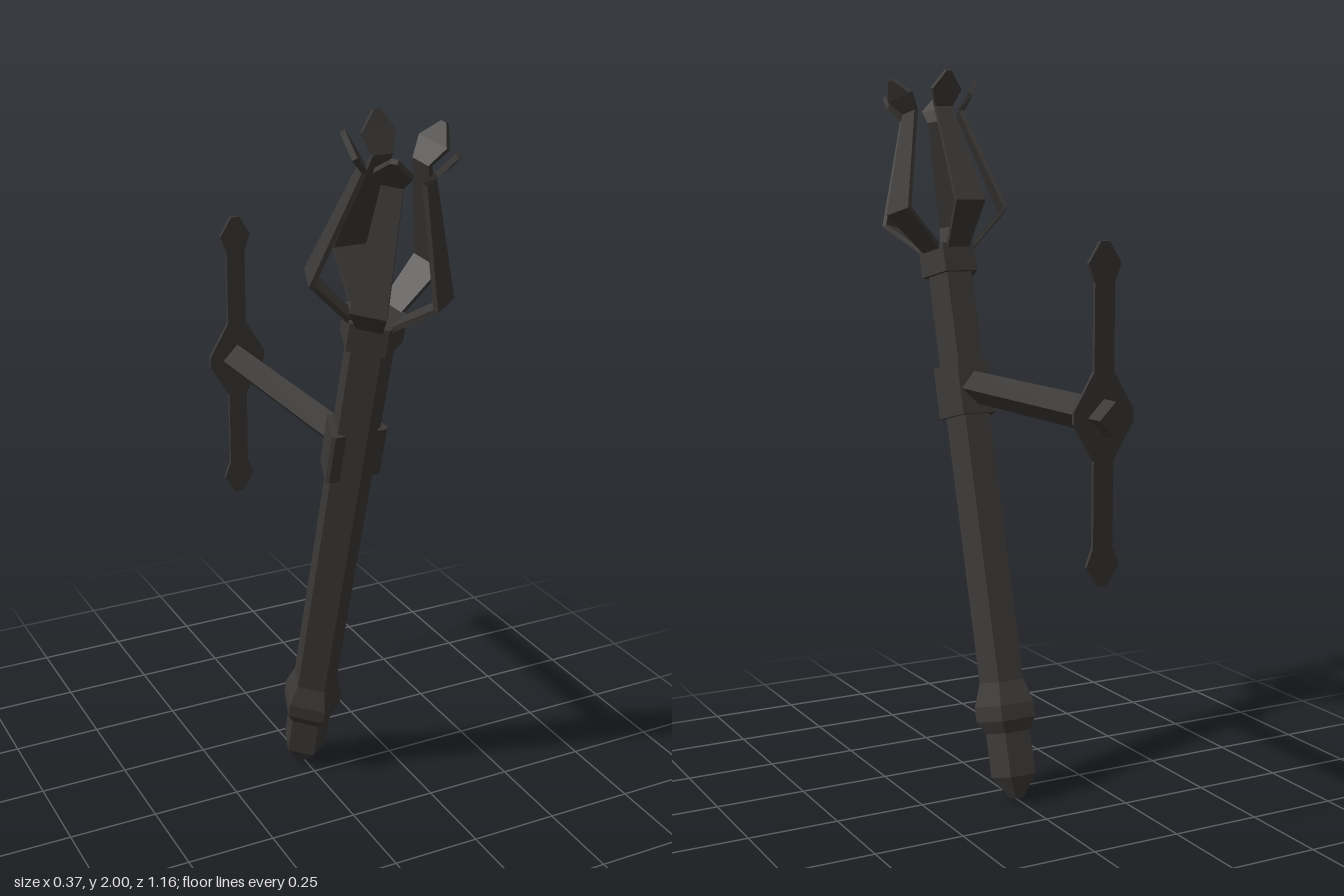
import * as THREE from 'three';

const iron = new THREE.MeshStandardMaterial({ color: 0x3b3937, flatShading: true });

function add(parent, geometry, name) {
  const mesh = new THREE.Mesh(geometry, iron);
  mesh.name = name;
  parent.add(mesh);
  return mesh;
}

// five-sided turned part, [radius, height] from bottom to top, one edge facing front
function turned(profile) {
  return new THREE.LatheGeometry(profile.map(([r, h]) => new THREE.Vector2(r, h)), 5);
}

// bent flat bar: path of [distance out, height, half width], rectangular sections
function bentBar(path, thickness) {
  const pts = path.map(([r, h]) => new THREE.Vector2(r, h));
  const position = [], index = [];
  path.forEach(([r, h, w], i) => {
    const before = pts[Math.max(i - 1, 0)], after = pts[Math.min(i + 1, pts.length - 1)];
    const tIn = pts[i].clone().sub(before).normalize();
    const tOut = after.clone().sub(pts[i]).normalize();
    const t = tIn.add(tOut).normalize();
    const nz = t.y * thickness / 2, ny = -t.x * thickness / 2;
    for (const [sx, sn] of [[-1, -1], [1, -1], [1, 1], [-1, 1]]) {
      position.push(sx * w, h + sn * ny, r + sn * nz);
    }
    if (i === path.length - 1) return;
    for (let j = 0; j < 4; j++) {
      const a = i * 4 + j, b = i * 4 + (j + 1) % 4;
      index.push(a, a + 4, b, b, a + 4, b + 4);
    }
  });
  const e = (path.length - 1) * 4;
  index.push(0, 1, 2, 0, 2, 3, e, e + 2, e + 1, e, e + 3, e + 2);
  const g = new THREE.BufferGeometry();
  g.setAttribute('position', new THREE.Float32BufferAttribute(position, 3));
  g.setIndex(index);
  g.computeVertexNormals();
  return g;
}

// polygon from a half outline [x, y], mirrored across x = 0 and extruded
function mirroredPlate(half, depth) {
  const mirrored = half.map(([x, y]) => [-x, y]).reverse();
  const shape = new THREE.Shape([...half, ...mirrored].map(([x, y]) => new THREE.Vector2(x, y)));
  return new THREE.ExtrudeGeometry(shape, { depth, bevelEnabled: false });
}

export function createModel() {
  const model = new THREE.Group();
  model.name = 'wallTorch';

  // leaning torch, built upright from its lower tip
  const torch = new THREE.Group();
  torch.name = 'torch';
  torch.position.set(0, 0.005, -0.087);
  torch.rotation.x = THREE.MathUtils.degToRad(15.6);
  model.add(torch);

  // shaft with pointed foot and swollen pommel
  add(torch, turned([
    [0, 0], [0.02, 0.002], [0.065, 0.065], [0.065, 0.185], [0.087, 0.22],
    [0.087, 0.262], [0.065, 0.325], [0.065, 1.5], [0, 1.5],
  ]), 'shaft');

  // collar below the prongs
  add(torch, turned([[0, 1.475], [0.084, 1.475], [0.084, 1.555], [0, 1.555]]), 'topCollar');

  // clamp around the back of the shaft, open at the front edge
  const clamp = mirroredPlate([[0.05, 0.067], [0.08, -0.025], [0.073, -0.034], [0.02, -0.034]].reverse(), 0.145);
  clamp.rotateX(-Math.PI / 2);
  add(torch, clamp, 'clamp').position.y = 1.07;

  // five bent prongs, one on each flat of the collar
  const prong = bentBar([
    [0.055, 1.54, 0.032], [0.172, 1.65, 0.045], [0.082, 1.944, 0.026],
    [0.113, 1.986, 0.045], [0.14, 2.03, 0.008],
  ], 0.014);
  for (let i = 0; i < 5; i++) {
    add(torch, prong, 'prong').rotation.y = Math.PI + i * Math.PI * 2 / 5;
  }

  // square arm set on edge, reaching back through the wall plate
  const arm = new THREE.CylinderGeometry(0.045, 0.045, 0.76, 4);
  arm.rotateX(Math.PI / 2);
  add(model, arm, 'arm').position.set(0, 1.123, -0.2);

  // thin wall plate with a diamond centre and spear-shaped ends
  const upper = [[0.085, 0.015], [0.028, 0.11], [0.028, 0.325], [0.046, 0.372], [0.012, 0.425]];
  const lower = upper.map(([x, y]) => [x, -y]).reverse();
  add(model, mirroredPlate([...lower, ...upper], 0.01), 'wallPlate').position.set(0, 1.125, -0.525);

  return model;
}
